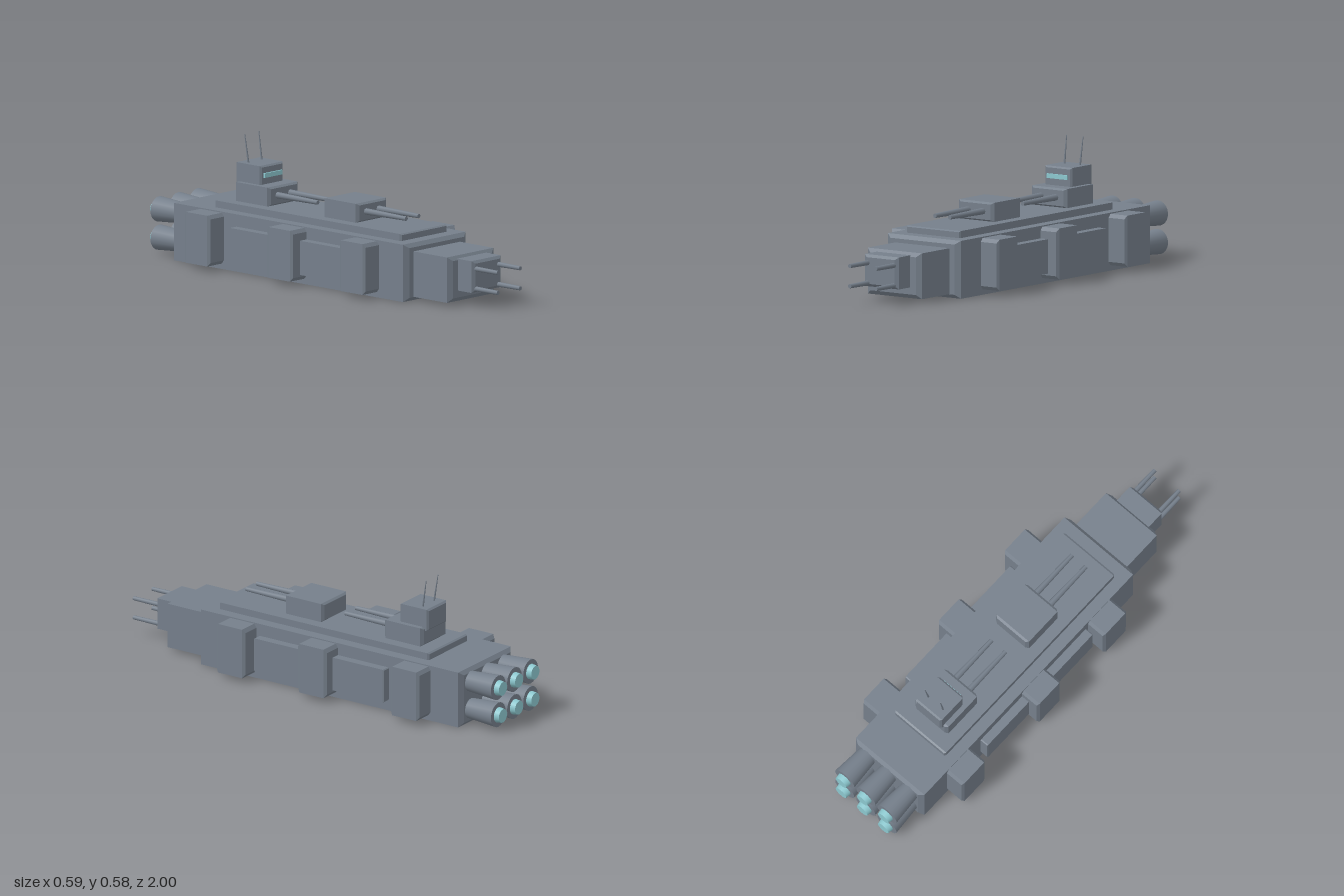
import * as THREE from 'three';

const hullGrey = new THREE.MeshStandardMaterial({ color: 0x757f8b });
hullGrey.name = 'hull grey';
const glowTeal = new THREE.MeshStandardMaterial({ color: 0x8cc8cf });
glowTeal.name = 'glow teal';

// Box given by its extents, with both z ends bevelled: b = [inset x, inset y, depth z]
function plate(name, [x0, x1], [y0, y1], [z0, z1], b = [0, 0, 0], material = hullGrey) {
  const w = x1 - x0, h = y1 - y0, l = z1 - z0;
  const box = new THREE.BoxGeometry(w, h, l, 1, 1, 3);
  const p = box.attributes.position;
  for (let i = 0; i < p.count; i++) {
    const x = p.getX(i), y = p.getY(i), z = p.getZ(i), s = Math.sign(z);
    if (Math.abs(z) > l * 0.4) {
      p.setXYZ(i, x - Math.sign(x) * b[0], y - Math.sign(y) * b[1], z);
    } else {
      p.setZ(i, s * (l / 2 - b[2]));
    }
  }
  const geometry = box.toNonIndexed();
  geometry.computeVertexNormals();
  const mesh = new THREE.Mesh(geometry, material);
  mesh.name = name;
  mesh.position.set((x0 + x1) / 2, (y0 + y1) / 2, (z0 + z1) / 2);
  return mesh;
}

// Tapered rod running from point a (radius ra) to point b (radius rb)
function rod(name, a, b, ra, rb, sides, material = hullGrey) {
  const from = new THREE.Vector3(...a), to = new THREE.Vector3(...b);
  const dir = to.clone().sub(from);
  const mesh = new THREE.Mesh(new THREE.CylinderGeometry(rb, ra, dir.length(), sides), material);
  mesh.name = name;
  mesh.position.copy(from).add(to).multiplyScalar(0.5);
  mesh.quaternion.setFromUnitVectors(new THREE.Vector3(0, 1, 0), dir.normalize());
  return mesh;
}

// Gun house with twin barrels
function turret(name, zBack, zFront) {
  const g = new THREE.Group();
  g.name = name;
  g.add(plate('gunHouse', [-0.096, 0.096], [0.285, 0.37], [zBack, zFront], [0.014, 0.008, 0.01]));
  for (const x of [-0.04, 0.04]) {
    g.add(rod('turretBarrel', [x, 0.33, zFront - 0.02], [x, 0.33, zFront + 0.24], 0.015, 0.01, 8));
  }
  return g;
}

export function createModel() {
  const ship = new THREE.Group();
  ship.name = 'spaceship';

  // Hull, stepped nose and upper deck
  ship.add(
    plate('mainHull', [-0.2, 0.2], [0, 0.255], [-0.83, 0.567], [0.025, 0.017, 0.015]),
    plate('noseBlock', [-0.148, 0.148], [0.018, 0.22], [0.53, 0.78], [0.024, 0.018, 0.014]),
    plate('noseTip', [-0.093, 0.093], [0.067, 0.208], [0.75, 0.87], [0.016, 0.012, 0.01]),
    plate('upperDeck', [-0.148, 0.148], [0.25, 0.286], [-0.622, 0.492], [0.006, 0.005, 0.008])
  );

  // Nose guns
  for (const x of [-0.071, 0.071]) {
    for (const y of [0.083, 0.172]) {
      ship.add(rod('noseGun', [x, y, 0.85], [x, y, 1], 0.0115, 0.0095, 8));
    }
  }

  // Side armour strips and pods
  for (const s of [-1, 1]) {
    const span = (a, b) => (s > 0 ? [a, b] : [-b, -a]);
    ship.add(plate('sideStrip', span(0.18, 0.24), [0.048, 0.2], [-0.447, 0.245], [0.002, 0.004, 0.005]));
    for (const z of [0.333, -0.1, -0.593]) {
      ship.add(plate('sidePod', span(0.18, 0.293), [0.024, 0.25], [z - 0.076, z + 0.076], [0.008, 0.016, 0.012]));
    }
  }

  // Gun turrets
  ship.add(turret('foreTurret', -0.022, 0.183), turret('aftTurret', -0.55, -0.345));

  // Bridge with window and antennas
  ship.add(
    plate('bridge', [-0.074, 0.074], [0.355, 0.453], [-0.566, -0.415], [0.009, 0.007, 0.008]),
    plate('bridgeWindow', [-0.056, 0.056], [0.4, 0.42], [-0.416, -0.407], [0, 0, 0], glowTeal)
  );
  for (const s of [-1, 1]) {
    ship.add(rod('antenna', [s * 0.042, 0.44, -0.516], [s * 0.045, 0.576, -0.537], 0.005, 0.002, 6));
  }

  // Six flared engines with glowing cores
  for (const x of [-0.123, 0, 0.123]) {
    for (const y of [0.07, 0.196]) {
      ship.add(
        rod('engineNozzle', [x, y, -0.82], [x, y, -0.975], 0.045, 0.056, 20),
        rod('engineGlow', [x, y, -0.965], [x, y, -1], 0.036, 0.031, 20, glowTeal)
      );
    }
  }
  return ship;
}
